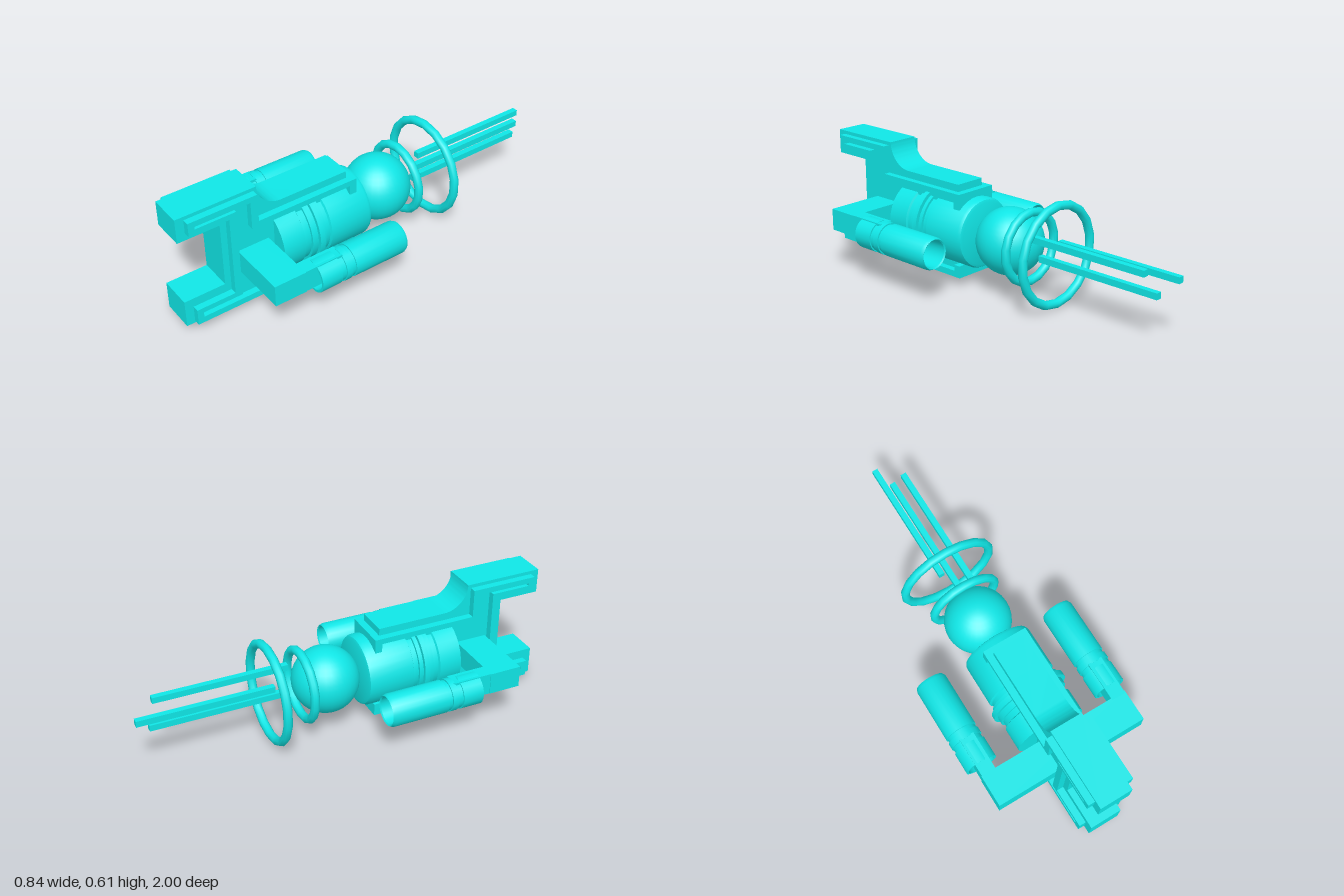
import * as THREE from 'three';
import { toCreasedNormals } from 'three/addons/utils/BufferGeometryUtils.js';

const material = new THREE.MeshStandardMaterial({ color: 0x10e6e6 });
const AXIS_Y = 0.257;

export function createModel() {
  const model = new THREE.Group();

  const add = (name, geometry, x = 0, y = 0, z = 0) => {
    const mesh = new THREE.Mesh(geometry, material);
    mesh.name = name;
    mesh.position.set(x, y, z);
    model.add(mesh);
    return mesh;
  };

  // Box given by its limits on each axis
  const addBox = (name, x0, x1, y0, y1, z0, z1) =>
    add(name, new THREE.BoxGeometry(x1 - x0, y1 - y0, z1 - z0),
      (x0 + x1) / 2, (y0 + y1) / 2, (z0 + z1) / 2);

  // Side profile drawn in (z, y), extruded across x
  const addProfile = (name, shape, x0, x1) => {
    const geometry = new THREE.ExtrudeGeometry(shape, {
      depth: x1 - x0, bevelEnabled: false, curveSegments: 12,
    });
    geometry.rotateY(-Math.PI / 2);
    add(name, toCreasedNormals(geometry, 0.5), x1);
  };

  // Turned part along z, from (radius, z) pairs
  const turned = (pairs, sides) => {
    const points = pairs.map(([r, z]) => new THREE.Vector2(r, z));
    const geometry = new THREE.LatheGeometry(points, sides);
    geometry.rotateX(Math.PI / 2);
    return toCreasedNormals(geometry, 0.6);
  };

  // Central body with a front notch and a scooped top
  const body = new THREE.Shape();
  body.moveTo(0.155, 0.04);
  body.lineTo(1, 0.04);
  body.lineTo(1, 0.175);
  body.lineTo(0.8, 0.175);
  body.lineTo(0.8, 0.495);
  body.lineTo(1, 0.495);
  body.lineTo(1, 0.615);
  body.lineTo(0.615, 0.615);
  body.absarc(0.495, 0.615, 0.12, 0, -Math.PI / 2, true);
  body.lineTo(0.155, 0.495);
  body.closePath();
  addProfile('body', body, -0.065, 0.092);

  // Raised strip that winds along both flanks
  const strip = new THREE.Shape([
    [0.12, 0.05], [0.96, 0.05], [0.96, 0.13], [0.77, 0.13], [0.77, 0.53],
    [0.96, 0.53], [0.96, 0.598], [0.63, 0.598], [0.63, 0.46], [0.12, 0.46],
    [0.12, 0.385], [0.155, 0.385], [0.155, 0.433], [0.665, 0.433],
    [0.665, 0.57], [0.93, 0.57], [0.93, 0.557], [0.735, 0.557],
    [0.735, 0.105], [0.93, 0.105], [0.93, 0.08], [0.155, 0.08],
    [0.155, 0.11], [0.12, 0.11],
  ].map(([z, y]) => new THREE.Vector2(z, y)));
  addProfile('flankStrip', strip, -0.098, 0.124);

  // Main barrel with a raised band between two grooves
  add('barrel', turned([
    [0, 0.065], [0.15, 0.065], [0.163, 0.07], [0.17, 0.085], [0.17, 0.29],
    [0.16, 0.295], [0.16, 0.32], [0.172, 0.32], [0.172, 0.34], [0.19, 0.34],
    [0.19, 0.365], [0.172, 0.365], [0.172, 0.395], [0.16, 0.395],
    [0.16, 0.425], [0.17, 0.43], [0.17, 0.54], [0, 0.54],
  ], 32), 0.005, AXIS_Y);

  // Ball and the two rings behind it
  add('ball', new THREE.SphereGeometry(0.16, 32, 20), 0, AXIS_Y, -0.088);
  for (const [name, radius, z] of [['smallRing', 0.165, -0.21], ['largeRing', 0.231, -0.37]]) {
    const ring = new THREE.TorusGeometry(radius, 0.021, 10, 18);
    ring.rotateZ(Math.PI / 2);
    add(name, ring, 0, AXIS_Y, z);
  }

  // Three staggered rods
  for (const [x, y, z] of [[0.065, 0.33, -0.895], [-0.037, 0.3, -1], [0.015, 0.225, -0.93]]) {
    addBox('rod', x - 0.014, x + 0.014, y - 0.015, y + 0.015, z, z + 0.645);
  }

  // Cross arm with a bracket and a hollow pod at each end
  addBox('crossArm', -0.38, 0.38, 0.215, 0.32, 0.57, 0.725);
  const pod = turned([
    [0, 0.2], [0.062, 0.2], [0.064, 0.06], [0.07, 0.055], [0.077, 0.07],
    [0.077, 0.335], [0.071, 0.335], [0.071, 0.355], [0.077, 0.355],
    [0.077, 0.385], [0.071, 0.385], [0.071, 0.41], [0.077, 0.41],
    [0.077, 0.512], [0.066, 0.512], [0.066, 0.44], [0, 0.44],
  ], 24);
  for (const side of [-1, 1]) {
    add('pod', pod, side * 0.344, 0.246);
    add('bracket', new THREE.BoxGeometry(0.07, 0.105, 0.2), side * 0.342, 0.2675, 0.48);
  }

  return model;
}
